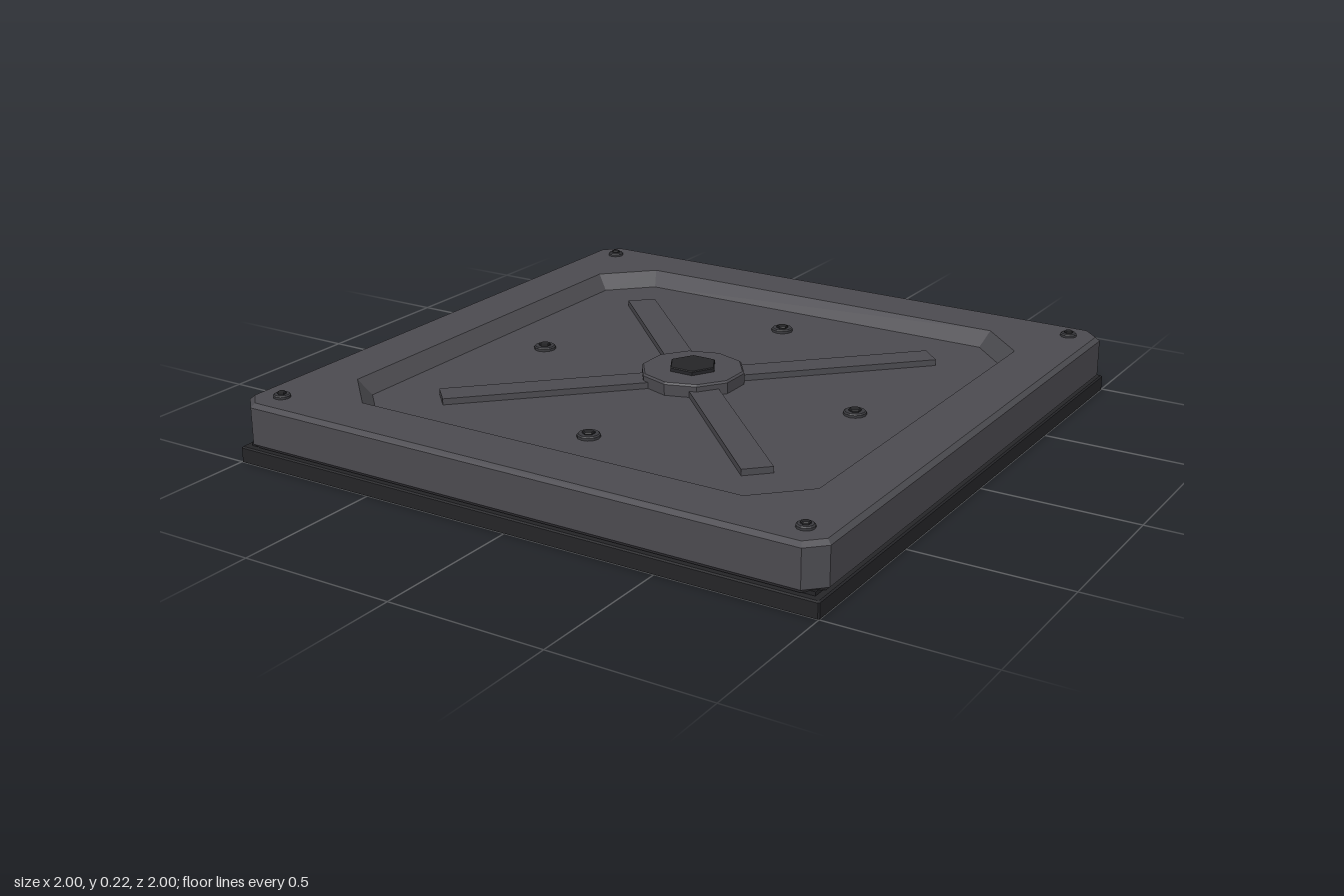
import * as THREE from 'three';

const plateMat = new THREE.MeshStandardMaterial({ color: 0x4c4b50 });
plateMat.name = 'grey metal';
const baseMat = new THREE.MeshStandardMaterial({ color: 0x252528 });
baseMat.name = 'dark metal';
const boltMat = new THREE.MeshStandardMaterial({ color: 0x3a3a3e });
boltMat.name = 'bolt metal';

// Square outline with cut corners, running anticlockwise seen from above
function outline([half, cut, y]) {
  const a = half, b = half - cut;
  return [[a, b], [a, -b], [b, -a], [-b, -a], [-a, -b], [-a, b], [-b, a], [b, a]]
    .map(([x, z]) => new THREE.Vector3(x, y, z));
}

// Flat-faced shell through a stack of cut-corner squares, closed at both ends
function loft(sections) {
  const rings = sections.map(outline);
  const points = [];
  for (let i = 0; i + 1 < rings.length; i++) {
    for (let j = 0; j < 8; j++) {
      const k = (j + 1) % 8, lo = rings[i], hi = rings[i + 1];
      points.push(lo[j], lo[k], hi[k], lo[j], hi[k], hi[j]);
    }
  }
  const first = rings[0], last = rings[rings.length - 1];
  for (let j = 1; j < 7; j++) {
    points.push(first[0], first[j + 1], first[j], last[0], last[j], last[j + 1]);
  }
  const geometry = new THREE.BufferGeometry().setFromPoints(points);
  geometry.computeVertexNormals();
  return geometry;
}

function add(parent, name, geometry, material, x = 0, y = 0, z = 0) {
  const mesh = new THREE.Mesh(geometry, material);
  mesh.name = name;
  mesh.position.set(x, y, z);
  parent.add(mesh);
  return mesh;
}

// Faceted disc with a narrow chamfer round its top; bottom at y = 0
function disc(radius, height, sides, chamfer) {
  const profile = [[0, 0], [radius, 0], [radius, height - chamfer], [radius - chamfer, height], [0, height]]
    .map(([r, y]) => new THREE.Vector2(r, y));
  const geometry = new THREE.LatheGeometry(profile, sides).toNonIndexed();
  geometry.computeVertexNormals();
  return geometry;
}

function addBolt(parent, name, x, y, z, radius) {
  const bolt = new THREE.Group();
  bolt.name = name;
  bolt.position.set(x, y, z);
  add(bolt, 'washer', disc(radius, 0.012, 12, 0.004), boltMat);
  add(bolt, 'head', disc(radius * 0.55, 0.019, 6, 0.003), baseMat);
  parent.add(bolt);
}

export function createModel() {
  const model = new THREE.Group();
  model.name = 'floorPlate';

  // Square base slab and the recessed seam above it
  add(model, 'baseSlab', loft([[1, 0.004, 0], [1, 0.004, 0.046], [0.995, 0.004, 0.05]]), baseMat);
  add(model, 'seam', new THREE.BoxGeometry(1.95, 0.02, 1.95), baseMat, 0, 0.052, 0);

  // Bevelled body with a sunken, cut-corner panel
  add(model, 'body', loft([
    [0.985, 0.05, 0.054], [1, 0.055, 0.069], [1, 0.055, 0.187], [0.987, 0.05, 0.2],
    [0.815, 0.15, 0.2], [0.775, 0.13, 0.15],
  ]), plateMat);

  // Diagonal ribs
  for (let i = 0; i < 4; i++) {
    const angle = Math.PI / 4 + i * Math.PI / 2;
    const rib = add(model, 'rib', new THREE.BoxGeometry(0.7, 0.025, 0.095), plateMat,
      Math.cos(angle) * 0.45, 0.1575, -Math.sin(angle) * 0.45);
    rib.rotation.y = angle;
  }

  // Central hub with a hexagonal bolt head
  add(model, 'hub', disc(0.168, 0.042, 10, 0.006), plateMat, 0, 0.15, 0);
  const hex = add(model, 'hubBolt', disc(0.08, 0.025, 6, 0.003), baseMat, 0, 0.181, 0);
  hex.rotation.y = Math.PI / 6;

  // Panel bolts on the axes, rim bolts in the corners
  for (const s of [-1, 1]) {
    addBolt(model, 'panelBolt', s * 0.58, 0.15, 0, 0.036);
    addBolt(model, 'panelBolt', 0, 0.15, s * 0.58, 0.036);
    for (const t of [-1, 1]) addBolt(model, 'rimBolt', s * 0.905, 0.199, t * 0.905, 0.027);
  }
  return model;
}
